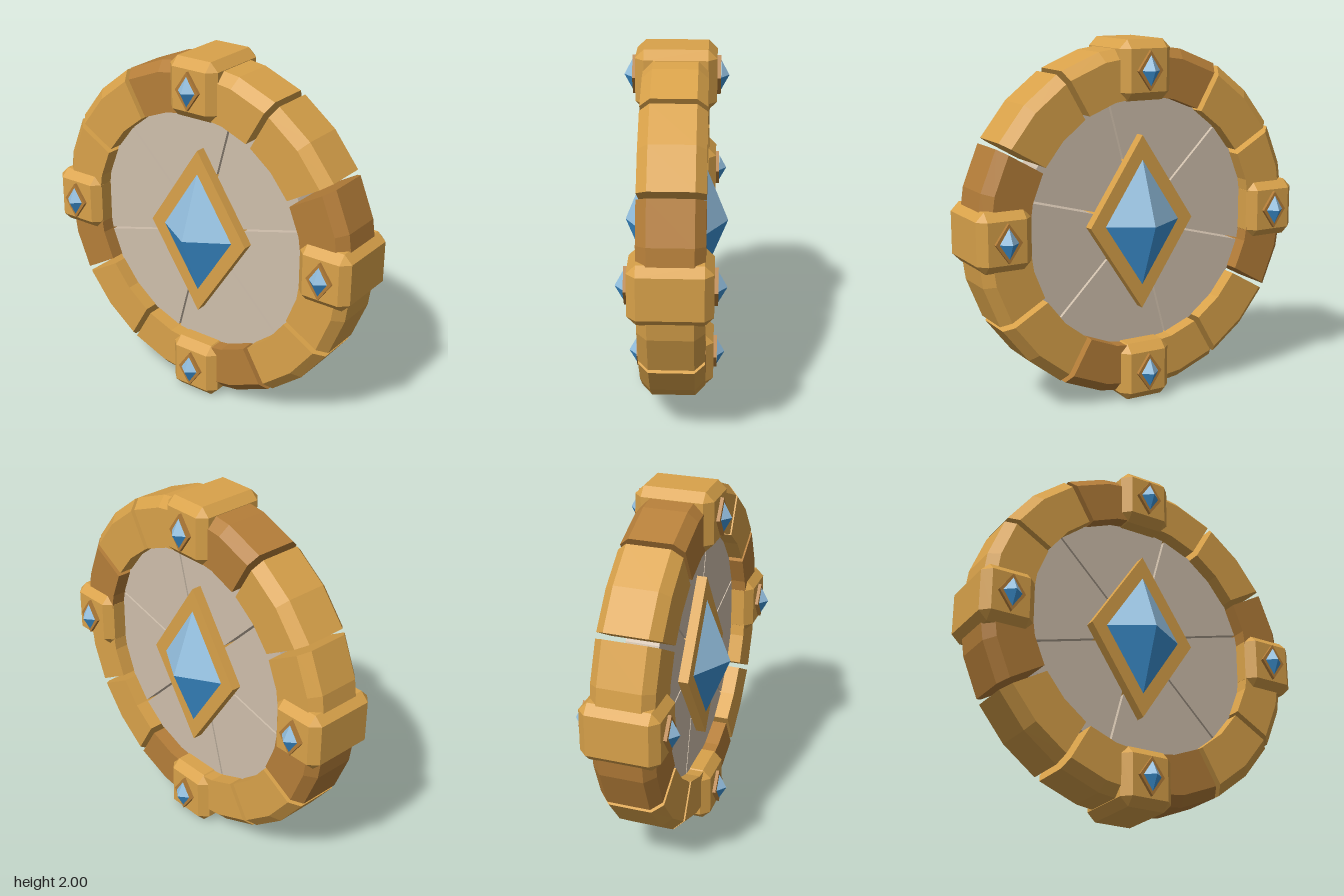
import * as THREE from 'three';
import { ConvexGeometry } from 'three/addons/geometries/ConvexGeometry.js';

const mat = (name, color) => Object.assign(new THREE.MeshStandardMaterial({ color, flatShading: true }), { name });

// Sweeps a closed (radius, z) profile around z; the ends are inset by `gap`
function sector(a0, a1, steps, gap, profile) {
  const at = (p, j) => {
    const a = a0 + ((a1 - a0) * j) / steps;
    const inset = j === 0 ? gap : j === steps ? -gap : 0;
    return [p[0] * Math.cos(a) - inset * Math.sin(a), p[0] * Math.sin(a) + inset * Math.cos(a), p[1]];
  };
  const pos = [];
  const tri = (...points) => points.forEach((p) => pos.push(...p));
  const n = profile.length;
  for (let j = 0; j < steps; j++) {
    for (let i = 0; i < n; i++) {
      const p = profile[i], q = profile[(i + 1) % n];
      tri(at(p, j), at(p, j + 1), at(q, j + 1));
      tri(at(p, j), at(q, j + 1), at(q, j));
    }
  }
  // End caps
  for (let i = 1; i < n - 1; i++) {
    tri(at(profile[0], 0), at(profile[i], 0), at(profile[i + 1], 0));
    tri(at(profile[0], steps), at(profile[i + 1], steps), at(profile[i], steps));
  }
  return facets(pos);
}

function facets(pos) {
  const g = new THREE.BufferGeometry();
  g.setAttribute('position', new THREE.Float32BufferAttribute(pos, 3));
  g.computeVertexNormals();
  return g;
}

// Box with every edge cut off by c
function chamferBox(hx, hy, hz, c) {
  const pts = [];
  for (const x of [-1, 1]) for (const y of [-1, 1]) for (const z of [-1, 1]) {
    pts.push(new THREE.Vector3(x * hx, y * (hy - c), z * (hz - c)));
    pts.push(new THREE.Vector3(x * (hx - c), y * hy, z * (hz - c)));
    pts.push(new THREE.Vector3(x * (hx - c), y * (hy - c), z * hz));
  }
  return new ConvexGeometry(pts);
}

// Diamond-shaped plate reaching hz to the front and back
function diamondPlate(w, h, hz) {
  const s = new THREE.Shape([[w, 0], [0, h], [-w, 0], [0, -h]].map((p) => new THREE.Vector2(...p)));
  return new THREE.ExtrudeGeometry(s, { depth: hz * 2, bevelEnabled: false }).translate(0, 0, -hz);
}

// Four-sided gem point; upper facets use material 0, lower facets material 1
function gemPoint(w, h, base, apex) {
  const A = [0, 0, apex], T = [0, h, base], B = [0, -h, base], L = [-w, 0, base], R = [w, 0, base];
  const g = facets([A, T, L, A, R, T, A, L, B, A, B, R].flat());
  g.addGroup(0, 6, 0);
  g.addGroup(6, 6, 1);
  return g;
}

export function createModel() {
  const gold = mat('gold', 0xd9a24a);
  const darkGold = mat('dark gold', 0xb57e39);
  const stone = mat('pale stone', 0xcfbfac);
  const gems = [mat('light blue', 0x94c0e0), mat('blue', 0x3f97da)];

  const model = new THREE.Group();
  model.name = 'roundShield';
  const body = new THREE.Group();
  body.name = 'shieldBody';
  body.position.y = 1;
  model.add(body);

  const add = (parent, name, geometry, material) => {
    const m = new THREE.Mesh(geometry, material);
    m.name = name;
    parent.add(m);
    return m;
  };
  const addGems = (parent, name, ...size) => {
    for (const side of [0, 1]) {
      add(parent, name + (side ? 'Back' : 'Front'), gemPoint(...size), gems).rotation.y = side * Math.PI;
    }
  };

  // Rim: twelve separate chamfered segments, every third one darker
  const rim = [[0.695, -0.172], [0.915, -0.172], [0.97, -0.118], [0.97, 0.118], [0.915, 0.172], [0.695, 0.172]];
  for (let i = 0; i < 12; i++) {
    const a = (i * Math.PI) / 6;
    add(body, 'rimSegment', sector(a, a + Math.PI / 6, 2, 0.016, rim), i % 3 === 0 ? darkGold : gold);
  }

  // Recessed panel: six wedges with narrow gaps
  const panel = [[0.02, -0.09], [0.7, -0.09], [0.7, 0.09], [0.02, 0.09]];
  for (let i = 0; i < 6; i++) {
    const a = Math.PI / 12 + (i * Math.PI) / 3;
    add(body, 'panelWedge', sector(a, a + Math.PI / 3, 4, 0.006, panel), stone);
  }

  // Central diamond frame and gem
  add(body, 'centreFrame', diamondPlate(0.32, 0.485, 0.147), gold);
  addGems(body, 'centreGem', 0.23, 0.35, 0.148, 0.287);

  // Four upright blocks, each with a small framed gem
  for (const [x, y] of [[0, 0.8375], [0, -0.8375], [0.835, 0], [-0.835, 0]]) {
    const block = new THREE.Group();
    block.name = 'rimBlock';
    block.position.set(x, y, 0);
    add(block, 'block', chamferBox(0.155, 0.1625, 0.215, 0.047), gold);
    add(block, 'gemFrame', diamondPlate(0.075, 0.106, 0.234), darkGold);
    addGems(block, 'smallGem', 0.054, 0.082, 0.235, 0.279);
    body.add(block);
  }
  return model;
}
